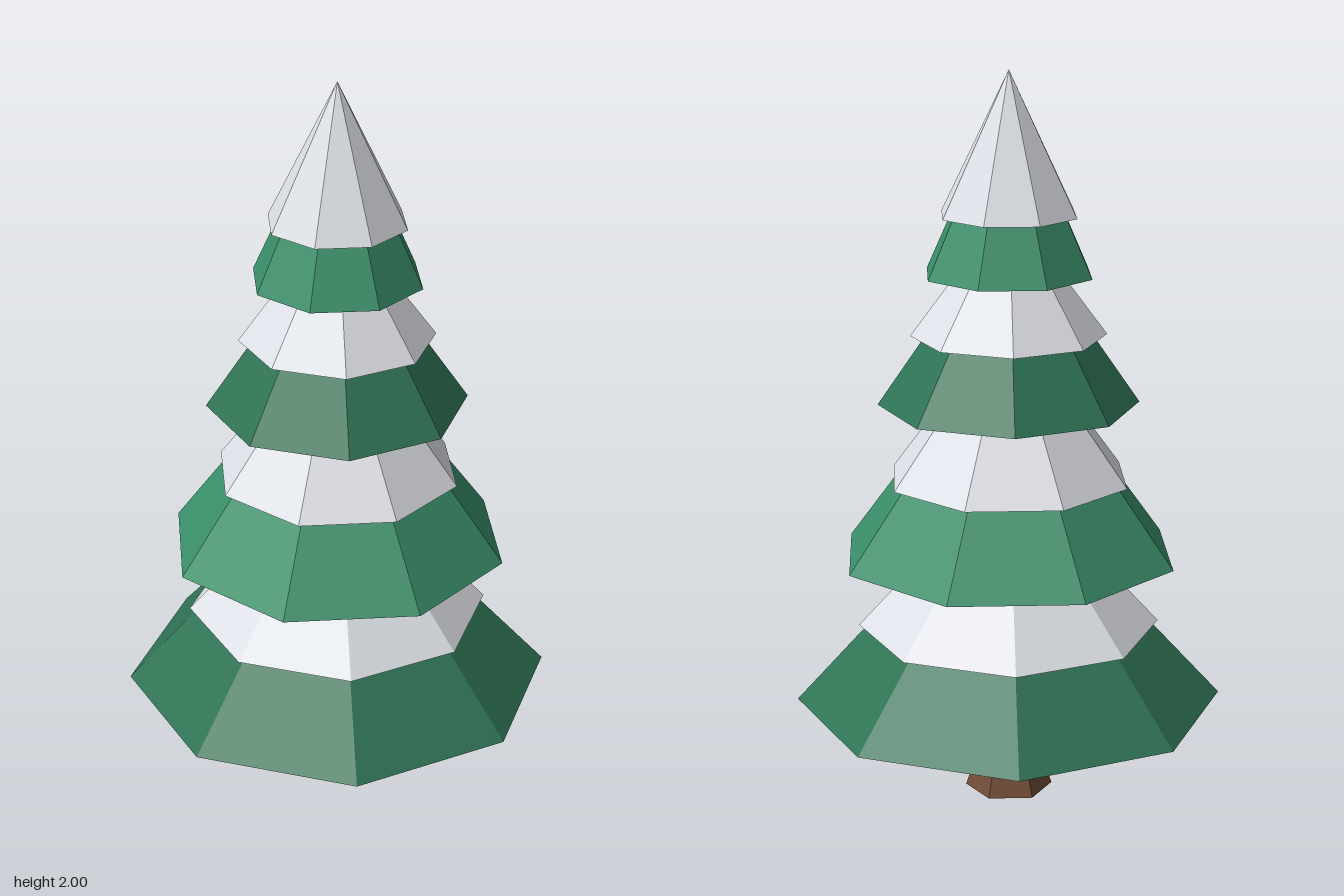
import * as THREE from 'three';

const mat = (name, color) => {
  const m = new THREE.MeshStandardMaterial({ color });
  m.name = name;
  return m;
};

// Faceted solid of revolution from [radius, height] points, bottom to top
function faceted(name, points, sides, turn, material) {
  const profile = points.map(([r, y]) => new THREE.Vector2(r, y));
  const geo = new THREE.LatheGeometry(profile, sides, turn).toNonIndexed();
  geo.computeVertexNormals();
  const mesh = new THREE.Mesh(geo, material);
  mesh.name = name;
  return mesh;
}

export function createModel() {
  const darkGreen = mat('darkGreen', 0x2f7355);
  const lightGreen = mat('lightGreen', 0x3a8f6a);
  const snow = mat('snowWhite', 0xdde0e6);
  const bark = mat('barkBrown', 0x714e37);

  const tree = new THREE.Group();
  tree.name = 'snowyFirTree';

  // Six-sided trunk with a flared foot
  tree.add(faceted('trunk', [[0, 0], [0.12, 0], [0.086, 0.1], [0.074, 0.4], [0, 0.4]],
    6, Math.PI / 2, bark));

  // Eight-sided tiers, every second one turned by half a side
  const tiers = [
    { y: 0.265, r: 0.585, top: 0.905, snowY: 0.48, snowR: 0.412, snowTop: 0.93 },
    { y: 0.685, r: 0.468, top: 1.32, snowY: 0.90, snowR: 0.336, snowTop: 1.35 },
    { y: 1.107, r: 0.352, top: 1.62, snowY: 1.295, snowR: 0.263, snowTop: 1.65 },
    { y: 1.462, r: 0.233, top: 1.97, snowY: 1.62, snowR: 0.19, snowTop: 2 },
  ];
  tiers.forEach((t, i) => {
    const turn = (i % 2) * Math.PI / 8;
    const tier = new THREE.Group();
    tier.name = `tier${i + 1}`;
    // Branches with a shallow hollow underneath
    tier.add(faceted('branches', [[0, t.y + t.r * 0.2], [t.r, t.y], [0, t.top]],
      8, turn, i % 2 ? lightGreen : darkGreen));
    // Snow cap slightly proud of the branches
    tier.add(faceted('snowCap', [[0, t.snowY], [t.snowR, t.snowY], [0, t.snowTop]],
      8, turn, snow));
    tree.add(tier);
  });
  return tree;
}
